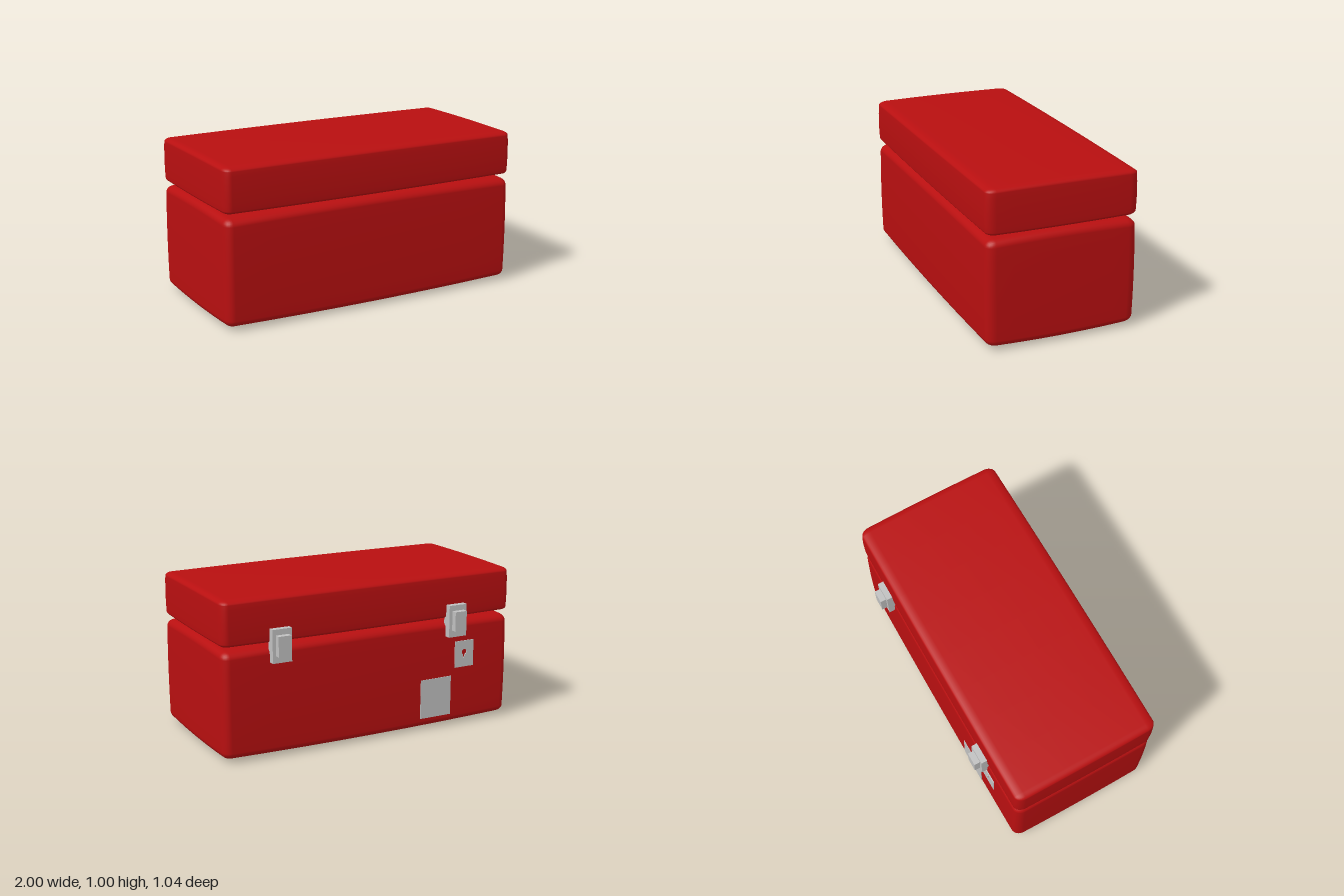
import * as THREE from 'three';
import { mergeVertices } from 'three/addons/utils/BufferGeometryUtils.js';

const clamp = THREE.MathUtils.clamp;

// Soft box between two corners: rounded by r per axis, faces bulging slightly by b per axis
function softBox(min, max, r, b) {
  const bevel = 3, flat = 8, n = bevel * 2 + flat;
  let geo = new THREE.BoxGeometry(2, 2, 2, n, n, n);
  geo.deleteAttribute('uv');
  geo.deleteAttribute('normal');
  geo = mergeVertices(geo);
  const pos = geo.attributes.position;
  const half = [0, 1, 2].map(k => (max[k] - min[k]) / 2);
  const mid = [0, 1, 2].map(k => (max[k] + min[k]) / 2);
  for (let i = 0; i < pos.count; i++) {
    const core = [], d = new THREE.Vector3();
    for (let k = 0; k < 3; k++) {
      // spread the grid so the outer rows fall inside the bevel
      const s = pos.getComponent(i, k) * n / 2, a = Math.abs(s);
      const inner = half[k] - r[k];
      core[k] = Math.sign(s) * inner * clamp(a / (flat / 2), 0, 1);
      d.setComponent(k, Math.sign(s) * Math.tan(clamp((a - flat / 2) / bevel, 0, 1) * Math.PI / 4));
    }
    d.normalize();
    const p = core.map((c, k) => c + d.getComponent(k) * r[k]);
    const q = p.map((v, k) => (v / half[k]) ** 2);
    for (let k = 0; k < 3; k++) {
      const inset = b[k] * (q[(k + 1) % 3] + q[(k + 2) % 3]);
      pos.setComponent(i, k, mid[k] + p[k] * (1 - inset / half[k]));
    }
  }
  geo.computeVertexNormals();
  return geo;
}

export function createModel() {
  const red = new THREE.MeshStandardMaterial({ color: 0xb80f10 });
  red.name = 'red paint';
  const steel = new THREE.MeshStandardMaterial({ color: 0xc0c0c0 });
  steel.name = 'grey metal';

  const model = new THREE.Group();
  model.name = 'latchedBox';
  const add = (name, geo, mat, x = 0, y = 0, z = 0, parent = model) => {
    const mesh = new THREE.Mesh(geo, mat);
    mesh.name = name;
    mesh.position.set(x, y, z);
    parent.add(mesh);
    return mesh;
  };

  // Box body and lid
  add('body', softBox([-1, 0, -0.445], [1, 0.702, 0.52], [0.05, 0.045, 0.06], [0.003, 0.012, 0.005]), red);
  add('lid', softBox([-1, 0.7, -0.445], [1, 0.995, 0.52], [0.045, 0.025, 0.06], [0.003, 0.004, 0.005]), red);

  // Latches bridging the seam at the back
  for (const [name, x] of [['leftLatch', 0.635], ['rightLatch', -0.58]]) {
    const latch = new THREE.Group();
    latch.name = name;
    latch.position.x = x;
    model.add(latch);
    add('latchPlate', new THREE.BoxGeometry(0.125, 0.205, 0.06), steel, 0, 0.697, -0.45, latch);
    add('latchCatch', new THREE.BoxGeometry(0.082, 0.125, 0.05), steel, 0, 0.702, -0.492, latch);
  }

  // Blank plate low on the back
  add('blankPlate', new THREE.BoxGeometry(0.222, 0.255, 0.009), steel, -0.449, 0.203, -0.4425);

  // Lock plate with a keyhole cut through it
  const plate = new THREE.Shape();
  plate.moveTo(-0.069, -0.086).lineTo(0.069, -0.086).lineTo(0.069, 0.086).lineTo(-0.069, 0.086).closePath();
  const keyhole = new THREE.Path();
  keyhole.moveTo(-0.007, -0.032);
  keyhole.absarc(0, 0.012, 0.018, Math.PI * 1.37, Math.PI * 1.63, true);
  keyhole.lineTo(0.007, -0.032).closePath();
  plate.holes.push(keyhole);
  const lockGeo = new THREE.ExtrudeGeometry(plate, { depth: 0.009, bevelEnabled: false, curveSegments: 12 });
  add('lockPlate', lockGeo, steel, -0.656, 0.465, -0.447);

  return model;
}
